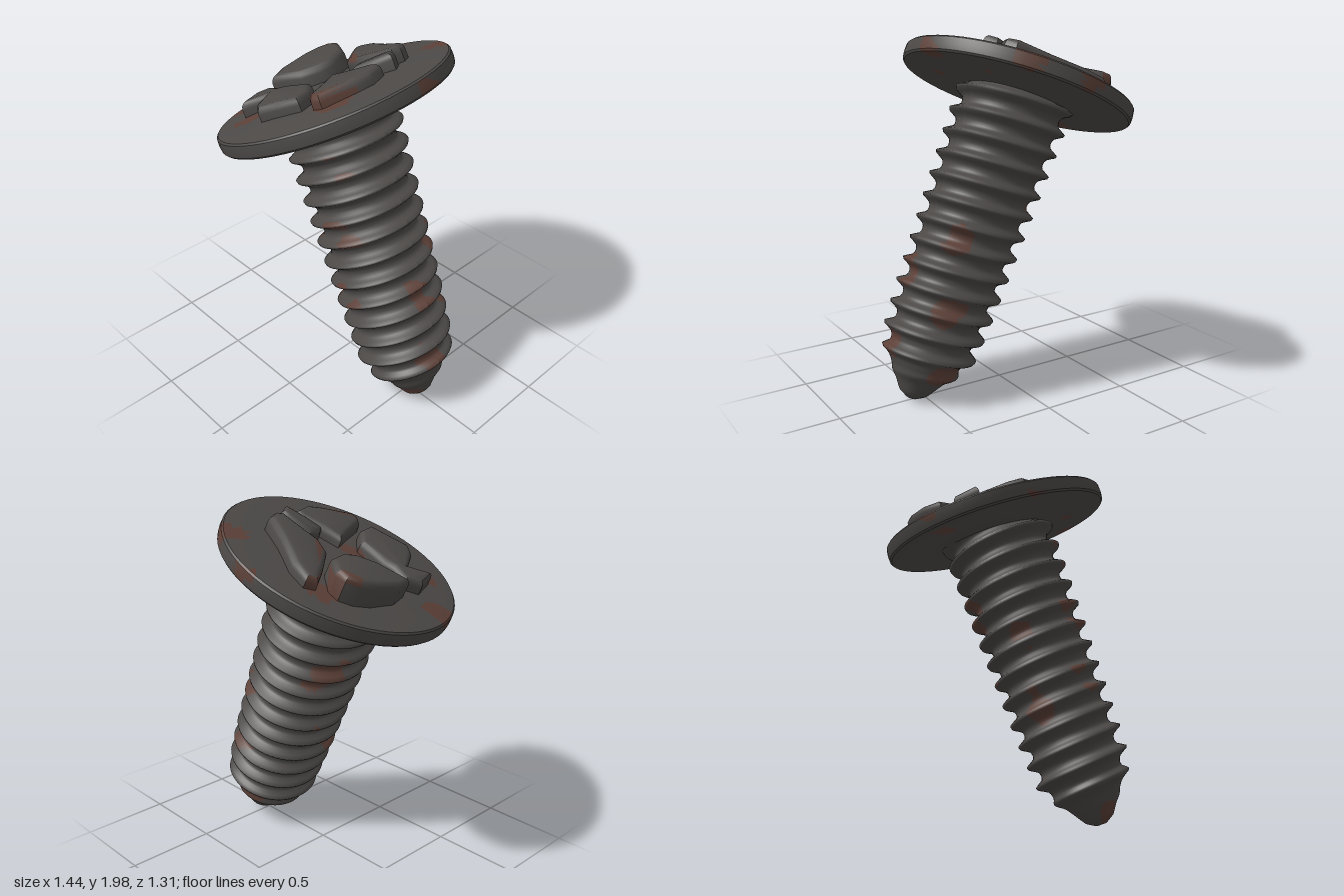
import * as THREE from 'three';
import { toCreasedNormals } from 'three/addons/utils/BufferGeometryUtils.js';

const steel = new THREE.MeshStandardMaterial({ color: 0x4c4947 });
const rust = new THREE.MeshStandardMaterial({ color: 0x5c4038 });

// Splits the triangles into bare steel and blotches of rust
function rustyMesh(name, geo) {
  const pos = geo.attributes.position;
  const idx = geo.index ? Array.from(geo.index.array) : Array.from({ length: pos.count }, (_, i) => i);
  const parts = [[], []];
  for (let i = 0; i < idx.length; i += 3) {
    const tri = idx.slice(i, i + 3);
    const mid = new THREE.Vector3();
    tri.forEach(k => mid.add(new THREE.Vector3().fromBufferAttribute(pos, k)));
    mid.divideScalar(3);
    const n = Math.sin(11 * mid.x + 5 * mid.y + 1) * Math.sin(9 * mid.y - 4 * mid.z + 2)
      * Math.sin(12 * mid.z + 3 * mid.x + 0.6);
    parts[n > 0.53 ? 1 : 0].push(...tri);
  }
  geo.setIndex([...parts[0], ...parts[1]]);
  geo.clearGroups();
  geo.addGroup(0, parts[0].length, 0);
  geo.addGroup(parts[0].length, parts[1].length, 1);
  const mesh = new THREE.Mesh(geo, [steel, rust]);
  mesh.name = name;
  return mesh;
}

// Core radius of the shaft at each height: [height, radius]
const core = [[0, 0.03], [0.03, 0.08], [0.11, 0.135], [0.2, 0.195], [0.32, 0.222], [0.6, 0.237], [1.5, 0.266], [1.78, 0.275]];
function coreRadius(h) {
  const i = Math.max(1, core.findIndex(p => p[0] >= h));
  const [a, b] = [core[i - 1], core[i]];
  return THREE.MathUtils.mapLinear(h, a[0], b[0], a[1], b[1]);
}

// Right-handed thread: rows of vertices follow the helix, so crests stay sharp
function threadGeometry() {
  const pitch = 0.122, top = 1.77, seg = 56;
  const ridge = [0, 0.03, 0.15, 0.5, 0.92, 1, 0.6, 0.18, 0.03];
  const n = ridge.length, rows = Math.ceil((top / pitch + 1.5) * n);
  const pos = [0, 0, 0], idx = [];
  for (let i = 0; i <= rows; i++) {
    for (let j = 0; j <= seg; j++) {
      const t = j / seg;
      const h = THREE.MathUtils.clamp((i / n + t - 1.5) * pitch, 0, top);
      const depth = 0.056 * THREE.MathUtils.smoothstep(h, 0.06, 0.3);
      const r = coreRadius(h) + depth * ridge[i % n];
      pos.push(r * Math.cos(t * 2 * Math.PI), h, -r * Math.sin(t * 2 * Math.PI));
      if (i < rows && j < seg) {
        const a = 1 + i * (seg + 1) + j, b = a + seg + 1;
        idx.push(a, a + 1, b, a + 1, b + 1, b);
      }
    }
  }
  // Closing fan at the tip
  for (let j = 0; j < seg; j++) idx.push(0, j + 2, j + 1);
  const geo = new THREE.BufferGeometry();
  geo.setAttribute('position', new THREE.Float32BufferAttribute(pos, 3));
  geo.setIndex(idx);
  geo.computeVertexNormals();
  return geo;
}

// Wide flat head with an upright rim, centred on the middle of the rim
function headGeometry() {
  const profile = [[0, -0.06], [0.29, -0.06], [0.36, -0.05], [0.6, -0.043], [0.645, -0.04], [0.654, -0.03], [0.657, 0],
    [0.654, 0.036], [0.645, 0.045], [0.6, 0.05], [0.4, 0.065], [0, 0.067]];
  const points = [];
  profile.forEach(([x, y], i) => {
    const next = profile[i + 1] ?? [x, y];
    const steps = Math.max(1, Math.round(Math.abs(next[0] - x) / 0.05));
    for (let k = 0; k < steps; k++) {
      const f = k / steps;
      points.push(new THREE.Vector2(x + (next[0] - x) * f, y + (next[1] - y) * f));
    }
  });
  const geo = new THREE.LatheGeometry(points, 72).scale(0.98, 1, 1);
  return toCreasedNormals(geo, 0.6);
}

// Raised plate on the head; outline as [x, z] seen from above, top tilted by slopes
function plateGeometry(outline, top, slopeX = 0, slopeZ = 0) {
  const base = 0.03, bevel = 0.04;
  const pts = outline.map(([x, z]) => new THREE.Vector2((x + 0.145) / 0.92, 0.015 - z));
  const geo = new THREE.ExtrudeGeometry(new THREE.Shape(pts), {
    depth: top - base - bevel, bevelThickness: bevel, bevelSize: 0.03, bevelOffset: -0.028, bevelSegments: 3,
  });
  geo.rotateX(-Math.PI / 2).translate(0, base, 0);
  geo.computeBoundingBox();
  const c = geo.boundingBox.getCenter(new THREE.Vector3());
  const p = geo.attributes.position;
  for (let i = 0; i < p.count; i++) {
    if (p.getY(i) > base + 0.01) {
      p.setY(i, p.getY(i) + slopeX * (p.getX(i) - c.x) + slopeZ * (p.getZ(i) - c.z));
    }
  }
  return toCreasedNormals(geo, 0.7);
}

const plates = [
  ['leftPlate', [[-0.53, -0.19], [-0.5, -0.28], [-0.45, -0.335], [-0.39, -0.34], [-0.28, -0.26], [-0.24, -0.14],
    [-0.25, -0.06], [-0.33, 0.03], [-0.5, 0.09], [-0.54, -0.03]], 0.18, -0.08, -0.08],
  ['backPlate', [[-0.36, -0.4], [-0.33, -0.45], [-0.22, -0.44], [-0.05, -0.36], [0.12, -0.3], [0.15, -0.24],
    [0.14, -0.19], [0, -0.16], [-0.08, -0.14], [-0.18, -0.17], [-0.28, -0.29]], 0.14, 0.05, 0],
  ['smallPlate', [[0, -0.11], [0.11, -0.18], [0.16, -0.18], [0.2, -0.12], [0.1, -0.05], [0.02, -0.01], [-0.01, -0.05]],
    0.145, 0.12, 0],
  ['rightPlate', [[-0.08, 0.04], [0.02, 0], [0.13, -0.06], [0.18, -0.05], [0.22, 0.06], [0.2, 0.15], [0.13, 0.33],
    [0.08, 0.34], [0.04, 0.31], [-0.02, 0.17]], 0.135, 0, 0],
  ['frontPlate', [[-0.5, 0.22], [-0.45, 0.14], [-0.35, 0.16], [-0.3, 0.14], [-0.13, 0.14], [-0.03, 0.24], [0, 0.35],
    [-0.1, 0.4], [-0.2, 0.45], [-0.27, 0.4], [-0.36, 0.26], [-0.44, 0.37]], 0.14, 0, 0],
];

export function createModel() {
  const model = new THREE.Group();
  model.name = 'screw';

  // Whole screw leans back from its tip
  const body = new THREE.Group();
  body.name = 'leaningBody';
  body.rotation.z = THREE.MathUtils.degToRad(23);
  body.position.set(0.56, 0.01, 0);
  model.add(body);

  const shaft = rustyMesh('threadedShaft', threadGeometry());
  shaft.position.x = 0.02;
  body.add(shaft);

  // Head and its broken plates sit askew on the shaft, dipping towards the front
  const top = new THREE.Group();
  top.name = 'headWithPlates';
  top.rotation.set(0.1, 0, THREE.MathUtils.degToRad(0.8));
  top.position.set(0.028, 1.803, 0);
  body.add(top);

  top.add(rustyMesh('head', headGeometry()));
  for (const [name, ...args] of plates) top.add(rustyMesh(name, plateGeometry(...args)));
  return model;
}
